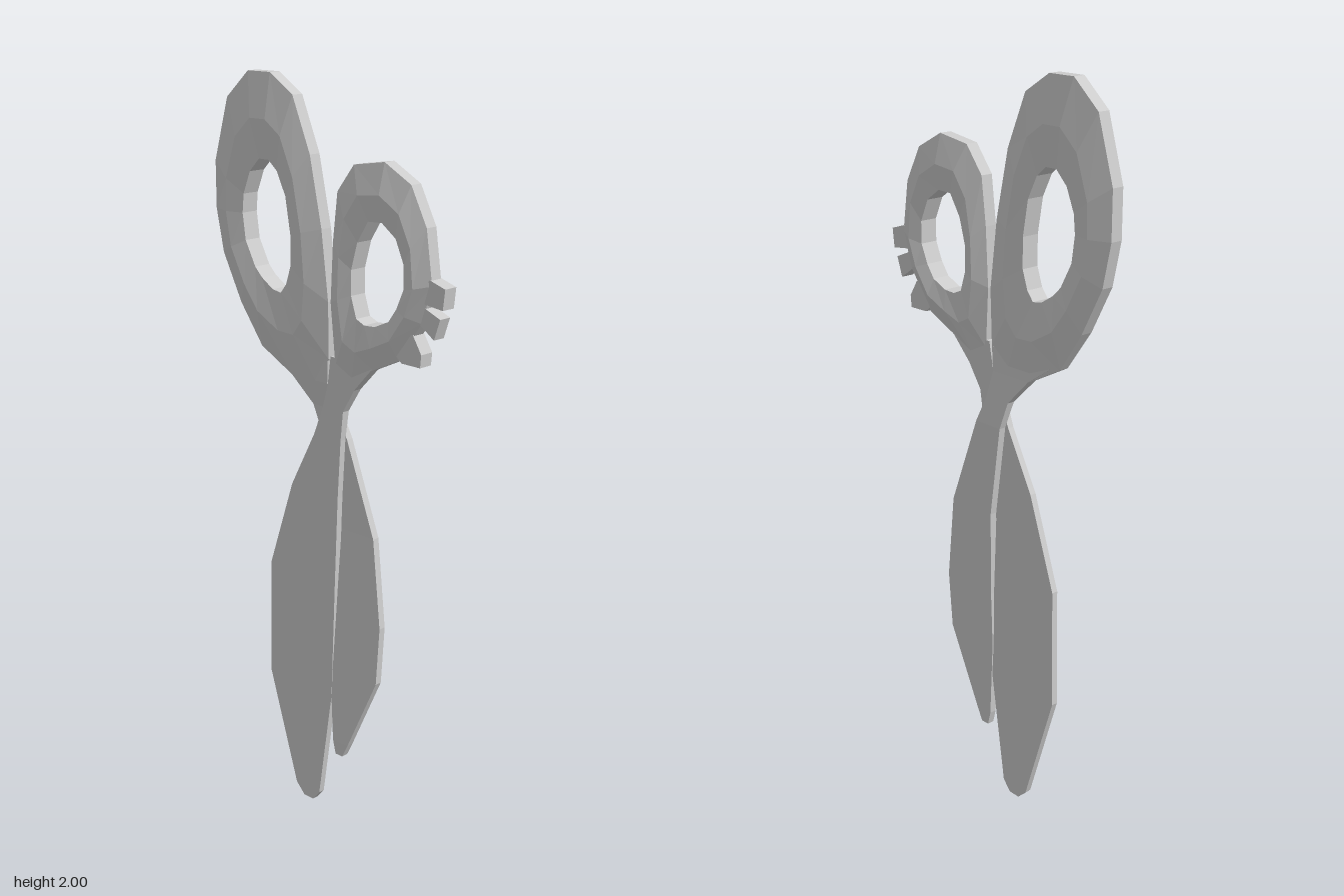
import * as THREE from 'three';

const material = new THREE.MeshStandardMaterial({ color: 0xcccccc, flatShading: true });

// Skin a list of equal-length loops of [x, y, z]; either wrap round or cap both ends.
function loft(name, loops, wrap) {
  const n = loops.length, m = loops[0].length, index = [];
  for (let i = 0; i < (wrap ? n : n - 1); i++) {
    for (let j = 0; j < m; j++) {
      const i2 = (i + 1) % n, j2 = (j + 1) % m;
      const a = i * m + j, b = i * m + j2, c = i2 * m + j2, d = i2 * m + j;
      index.push(a, b, c, a, c, d);
    }
  }
  if (!wrap) {
    const e = (n - 1) * m;
    for (let j = 1; j < m - 1; j++) index.push(0, j + 1, j, e, e + j, e + j + 1);
  }
  const geo = new THREE.BufferGeometry();
  geo.setAttribute('position', new THREE.Float32BufferAttribute(loops.flat(2), 3));
  geo.setIndex(index);
  geo.computeVertexNormals();
  const mesh = new THREE.Mesh(geo, material);
  mesh.name = name;
  return mesh;
}

// Finger ring: outer and hole outlines match point by point, clockwise.
// It is thickest midway and thins towards the neck.
function ring(name, outer, hole) {
  const loops = outer.map(([ox, oy], i) => {
    const [hx, hy] = hole[i];
    const at = (t, thin, thick, side) => {
      const y = oy + (hy - oy) * t;
      const s = THREE.MathUtils.smoothstep(y, 1.22, 1.4);
      return [ox + (hx - ox) * t, y, side * (thin + (thick - thin) * s)];
    };
    return [
      at(0, 0.011, 0.017, 1), at(0.53, 0.018, 0.037, 1), at(1, 0.02, 0.025, 1),
      at(1, 0.02, 0.025, -1), at(0.53, 0.018, 0.037, -1), at(0, 0.011, 0.017, -1),
    ];
  });
  return loft(name, loops, true);
}

// Neck and blade as one strip; rows are [y, xMin, xMax, zCentre, halfThickness].
function blade(name, rows) {
  return loft(name, rows.map(([y, x0, x1, z, h]) => [
    [x1, y, z + h], [x0, y, z + h], [x0, y, z - h], [x1, y, z - h],
  ]), false);
}

// Small grip knob cut from an outline.
function knob(name, points, depth) {
  const shape = new THREE.Shape(points.map(([x, y]) => new THREE.Vector2(x, y)));
  const geo = new THREE.ExtrudeGeometry(shape, { depth, bevelEnabled: false });
  geo.translate(0, 0, -depth / 2);
  const mesh = new THREE.Mesh(geo, material);
  mesh.name = name;
  return mesh;
}

export function createModel() {
  const model = new THREE.Group();
  model.name = 'scissors';

  // Half with the small ring; its blade lies in front
  const frontHalf = new THREE.Group();
  frontHalf.name = 'frontHalf';
  frontHalf.add(
    ring('smallRing',
      [[0.2, 1.815], [0.285, 1.77], [0.335, 1.675], [0.355, 1.54], [0.325, 1.445], [0.25, 1.34], [0.165, 1.30],
        [0.09, 1.26], [0.035, 1.29], [0.022, 1.45], [0.03, 1.605], [0.045, 1.73], [0.10, 1.80]],
      [[0.2, 1.672], [0.245, 1.64], [0.272, 1.58], [0.272, 1.52], [0.25, 1.47], [0.225, 1.435], [0.18, 1.415],
        [0.145, 1.413], [0.118, 1.425], [0.10, 1.48], [0.10, 1.545], [0.12, 1.615], [0.155, 1.67]]),
    blade('frontBlade', [
      [1.31, 0.02, 0.17, 0, 0.015], [1.235, 0.008, 0.10, 0, 0.013], [1.17, -0.012, 0.06, 0, 0.011],
      [1.09, -0.045, 0.05, 0, 0.009], [0.93, -0.13, 0.04, 0, 0.009], [0.68, -0.215, 0.03, 0, 0.009],
      [0.35, -0.22, 0.018, 0, 0.009], [0.03, -0.12, -0.03, 0, 0.009], [0, -0.09, -0.055, 0, 0.009],
    ]),
    knob('upperKnob', [[0.335, 1.495], [0.392, 1.488], [0.398, 1.54], [0.35, 1.555], [0.335, 1.54]], 0.04),
    knob('middleKnob', [[0.31, 1.45], [0.365, 1.412], [0.383, 1.465], [0.335, 1.485]], 0.036),
    knob('lowerKnob', [[0.24, 1.36], [0.265, 1.338], [0.325, 1.337], [0.328, 1.37], [0.30, 1.415], [0.26, 1.41]], 0.04),
  );

  // Half with the large ring; its blade crosses behind
  const backHalf = new THREE.Group();
  backHalf.name = 'backHalf';
  backHalf.add(
    ring('largeRing',
      [[-0.27, 2], [-0.19, 2], [-0.11, 1.95], [-0.05, 1.81], [-0.01, 1.63], [0.013, 1.45], [0.012, 1.30], [-0.04, 1.235],
        [-0.125, 1.235], [-0.235, 1.293], [-0.31, 1.40], [-0.375, 1.525], [-0.40, 1.64], [-0.40, 1.765], [-0.35, 1.93]],
      [[-0.225, 1.785], [-0.19, 1.785], [-0.16, 1.76], [-0.13, 1.70], [-0.113, 1.605], [-0.113, 1.525], [-0.13, 1.475],
        [-0.15, 1.45], [-0.18, 1.455], [-0.22, 1.48], [-0.245, 1.505], [-0.28, 1.57], [-0.29, 1.64], [-0.285, 1.69],
        [-0.26, 1.75]]),
    blade('backBlade', [
      [1.30, -0.22, 0.01, 0, 0.015], [1.235, -0.125, 0.004, -0.003, 0.014], [1.165, -0.06, 0.02, -0.014, 0.011],
      [1.09, -0.035, 0.055, -0.02, 0.01], [0.84, 0, 0.15, -0.02, 0.01], [0.60, 0.01, 0.185, -0.01, 0.01],
      [0.44, 0.012, 0.18, -0.003, 0.01], [0.22, 0.025, 0.08, 0, 0.01], [0.18, 0.035, 0.06, 0, 0.01],
    ]),
  );

  model.add(frontHalf, backHalf);
  return model;
}
